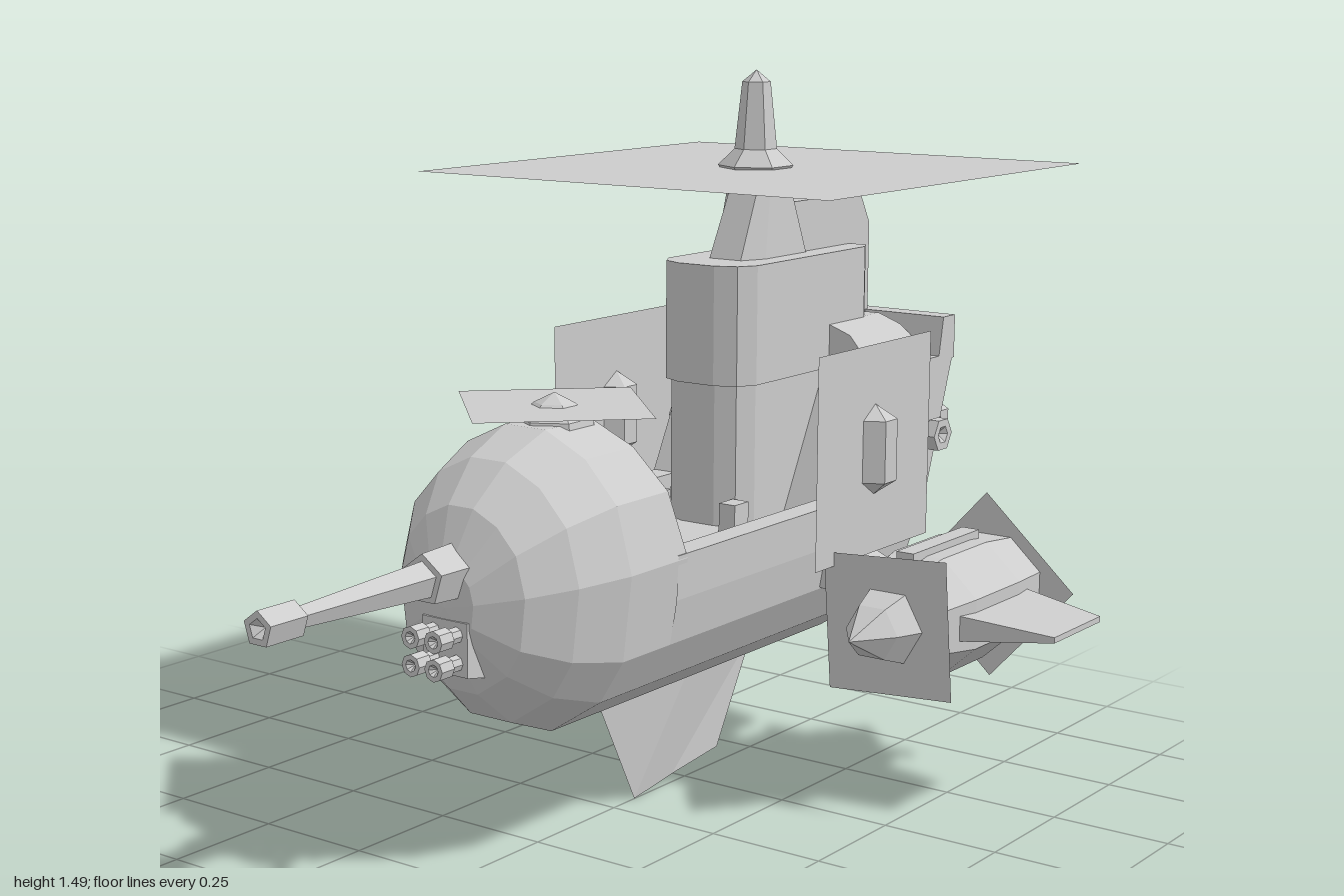
import * as THREE from 'three';

const grey = new THREE.MeshStandardMaterial({ color: 0xcccccc, flatShading: true, side: THREE.DoubleSide });
grey.name = 'plain grey';

function add(parent, name, geometry, x = 0, y = 0, z = 0) {
  const mesh = new THREE.Mesh(geometry, grey);
  mesh.name = name;
  mesh.position.set(x, y, z);
  parent.add(mesh);
  return mesh;
}

// Skin over closed rings of [x, y, z]; optional end caps fan about a centre.
function loft(rings, capFirst, capLast) {
  const p = [];
  const n = rings[0].length;
  for (let r = 0; r < rings.length - 1; r++) {
    for (let i = 0; i < n; i++) {
      const j = (i + 1) % n;
      const a = rings[r][i], b = rings[r][j], c = rings[r + 1][j], d = rings[r + 1][i];
      p.push(...a, ...b, ...c, ...a, ...c, ...d);
    }
  }
  const cap = (ring, c) => ring.forEach((v, i) => p.push(...c, ...v, ...ring[(i + 1) % n]));
  if (capFirst) cap(rings[0], capFirst);
  if (capLast) cap(rings[rings.length - 1], capLast);
  const g = new THREE.BufferGeometry();
  g.setAttribute('position', new THREE.Float32BufferAttribute(p, 3));
  g.computeVertexNormals();
  return g;
}

// Extrude a side profile of [z, y] points across the width.
function sideSlab(points, halfWidth) {
  const s = new THREE.Shape(points.map(([z, y]) => new THREE.Vector2(-z, y)));
  const g = new THREE.ExtrudeGeometry(s, { depth: halfWidth * 2, bevelEnabled: false });
  return g.translate(0, 0, -halfWidth).rotateY(Math.PI / 2);
}

// Faceted turned shape along y from [radius, y] points.
const turned = (points, sides) => new THREE.LatheGeometry(points.map(([r, y]) => new THREE.Vector2(r, y)), sides);

// Thin square blade sheet facing z.
const sheet = (size) => new THREE.PlaneGeometry(size, size);

const mirrorRing = (half) => [...half, ...half.slice().reverse().map(([x, y]) => [-x, y])];

// Small stepped exhaust pointing along +y.
function jet(name) {
  const g = new THREE.Group();
  g.name = name;
  const base = add(g, 'jetBase', new THREE.CylinderGeometry(0.04, 0.055, 0.03, 4), 0, 0.015);
  base.rotation.y = Math.PI / 4;
  add(g, 'jetNozzle', turned([[0.022, 0.03], [0.026, 0.07], [0.038, 0.07], [0.038, 0.105], [0.02, 0.105], [0, 0.085]], 6));
  return g;
}

function createModel() {
  const model = new THREE.Group();
  model.name = 'airship';

  // Lower hull: U-section with a sunken floor and raked stern
  const hullHalf = [[0.2, 0.55], [0.2, 0.6], [0.255, 0.6], [0.25, 0.51], [0.235, 0.42], [0.18, 0.33], [0.06, 0.25]];
  const hullRing = mirrorRing(hullHalf);
  add(model, 'hull', loft([
    hullRing.map(([x, y]) => [x, y, 0.13]),
    hullRing.map(([x, y]) => [x, y, -0.69 - (y - 0.25) * 0.35]),
  ], null, [0, 0.45, -0.76]));

  // Hollow nose, open towards the back
  const noseRing = mirrorRing([[0.05, 0.845], [0.145, 0.8], [0.22, 0.72], [0.255, 0.59], [0.235, 0.42], [0.18, 0.33], [0.06, 0.25]]);
  const stations = [[0.515, 0.26], [0.47, 0.6], [0.39, 0.85], [0.28, 1], [0.1, 1], [0.1, 0.85], [0.28, 0.85], [0.4, 0.6]];
  add(model, 'nose', loft(stations.map(([z, s]) => noseRing.map(([x, y]) => {
    const shear = z < 0.2 ? Math.max(0, y - 0.6) * 0.15 : 0;
    return [x * s, 0.54 + (y - 0.54) * s, z + shear];
  })), [0, 0.54, 0.52], [0, 0.54, 0.4]));

  // Nose rotor
  add(model, 'noseRotorHub', turned([[0.085, 0.8], [0.075, 0.85], [0.04, 0.88], [0, 0.9]], 6).translate(0, 0, 0.19));
  const noseRotor = add(model, 'noseRotor', sheet(0.346), 0, 0.875, 0.19);
  noseRotor.rotation.set(-Math.PI / 2, 0, Math.PI / 4);

  // Main gun
  const gun = add(model, 'mainGun', turned([[0.055, 0.48], [0.05, 0.58], [0.036, 0.58], [0.02, 0.91], [0.034, 0.91], [0.034, 1], [0.02, 1], [0, 0.98]], 5), 0, 0.605, 0);
  gun.rotation.set(Math.PI / 2, 0, 0);
  gun.geometry.rotateY(Math.PI);

  // Cluster of four small guns
  const mount = add(model, 'gunMount', new THREE.CylinderGeometry(0.078, 0.092, 0.06, 4, 1).rotateY(Math.PI / 4).rotateX(Math.PI / 2), 0, 0.465, 0.49);
  mount.scale.y = 0.95;
  for (const x of [-0.028, 0.028]) {
    for (const y of [0.438, 0.492]) {
      add(model, 'smallGun', turned([[0.016, 0.5], [0.016, 0.55], [0.022, 0.55], [0.022, 0.585], [0.012, 0.585], [0, 0.57]], 8).rotateX(Math.PI / 2), x, y, 0);
    }
  }

  // Keel fin, tapering to a sharp lower edge
  add(model, 'keelFin', loft([
    [[0.035, 0.26, -0.22], [0, 0.26, 0.065], [-0.035, 0.26, -0.22], [0, 0.26, -0.5]],
    [[0.003, 0.02, -0.2], [0, 0.0, -0.07], [-0.003, 0.02, -0.2], [0, 0.035, -0.37]],
  ], null, [0, 0.02, -0.2]));

  // Stern block, its rear parapet and rounded housings
  add(model, 'sternBlock', sideSlab([[-0.46, 0.55], [-0.62, 0.86], [-0.905, 0.86], [-0.795, 0.55]], 0.257));
  add(model, 'sternParapet', sideSlab([[-0.84, 0.84], [-0.86, 0.945], [-0.91, 0.945], [-0.91, 0.85]], 0.257));
  const housing = mirrorRing([[0.11, 0.945], [0.165, 0.925], [0.195, 0.89], [0.2, 0.85]]);
  add(model, 'sternHousing', loft([
    housing.map(([x, y]) => [x, y, -0.62]),
    housing.map(([x, y]) => [x, y, -0.83]),
    housing.map(([x, y]) => [x, 0.85 + (y - 0.85) * 0.4, -0.885]),
  ], [0, 0.87, -0.62], [0, 0.86, -0.885]));

  // Central column with a rounded front, in two stacked bands
  const column = (w, front) => mirrorRing([[w * 0.4, front], [w * 0.8, front - 0.02], [w, front - 0.06], [w, -0.76], [w * 0.85, -0.79]]);
  for (const [name, w, front, y0, y1] of [['columnLower', 0.104, -0.29, 0.55, 0.85], ['columnUpper', 0.113, -0.28, 0.85, 1.1]]) {
    const ring = column(w, front);
    add(model, name, loft([y0, y1].map((y) => ring.map(([x, z]) => [x, y, z])), [0, y0, -0.5], [0, y1, -0.5]));
  }
  for (const x of [-0.1, 0.1]) add(model, 'columnFoot', new THREE.BoxGeometry(0.04, 0.06, 0.05), x, 0.58, -0.28);
  add(model, 'mastBase', loft([
    mirrorRing([[0.04, -0.38], [0.065, -0.44], [0.065, -0.6], [0.04, -0.64]]).map(([x, z]) => [x, 1.09, z]),
    mirrorRing([[0.035, -0.45], [0.055, -0.47], [0.055, -0.55], [0.035, -0.56]]).map(([x, z]) => [x, 1.24, z]),
  ], null, [0, 1.24, -0.5]));
  add(model, 'tailBox', sideSlab([[-0.5, 0.9], [-0.5, 1.21], [-0.83, 1.21], [-0.87, 1.14], [-0.87, 0.9]], 0.055));

  // Main rotor and spire
  add(model, 'spire', turned([[0.035, 1.23], [0.08, 1.29], [0.045, 1.325], [0.03, 1.465], [0, 1.49]], 6).translate(0, 0, -0.495));
  add(model, 'mainRotor', sheet(1.01).rotateX(-Math.PI / 2), 0, 1.285, -0.495);

  // Rear exhausts
  for (const x of [-0.18, -0.06, 0.06, 0.18]) {
    const j = jet('rearExhaust');
    j.position.set(x, 0.7, -0.865);
    j.rotation.x = -Math.PI / 2;
    model.add(j);
  }

  for (const s of [1, -1]) {
    const sideName = s > 0 ? 'left' : 'right';
    // Side exhausts
    for (const z of [-0.65, -0.78]) {
      const j = jet(sideName + 'Exhaust');
      j.position.set(s * 0.235, 0.7, z);
      j.rotation.z = -s * Math.PI / 2;
      j.scale.y = 0.7;
      model.add(j);
    }
    // Side rotor with upright hub
    add(model, sideName + 'RotorHub', turned([[0, 0.63], [0.046, 0.66], [0.046, 0.79], [0, 0.82]], 6).translate(s * 0.335, 0, -0.45));
    add(model, sideName + 'SideRotor', sheet(0.44).rotateY(Math.PI / 2), s * 0.335, 0.725, -0.45);

    // Engine pod
    const pod = new THREE.Group();
    pod.name = sideName + 'EnginePod';
    pod.position.set(s * 0.463, 0.4, 0);
    model.add(pod);
    const body = add(pod, 'podBody', turned([[0, -0.72], [0.12, -0.72], [0.135, -0.6], [0.135, -0.42], [0.11, -0.3], [0, -0.3]], 8).rotateY(Math.PI / 8).rotateX(Math.PI / 2));
    body.scale.x = 1.1;
    const cone = (tip, base) => turned([[0.082, base], [0.06, base + (tip - base) * 0.4], [0, tip]], 6).rotateY(Math.PI / 2).rotateX(Math.PI / 2);
    add(pod, 'frontSpinner', cone(-0.155, -0.3));
    add(pod, 'rearSpinner', cone(-0.85, -0.72));
    add(pod, 'frontPropeller', sheet(0.285), 0, 0, -0.3).rotation.z = 0.07;
    add(pod, 'rearPropeller', sheet(0.285), 0, 0, -0.72).rotation.z = 0.05 + Math.PI / 4;
    add(pod, 'topRail', new THREE.BoxGeometry(0.04, 0.03, 0.27), 0, 0.125, -0.5);
    // Winglet and strut
    const section = (x, y, h, z0, z1) => [[x, y + h, z0], [x, y + h, z1], [x, y - h, z1], [x, y - h, z0]];
    add(pod, 'winglet', loft([
      section(s * 0.12, 0, 0.027, -0.37, -0.65),
      section(s * 0.318, 0, 0.006, -0.41, -0.61),
    ], null, [s * 0.318, 0, -0.51]));
    add(pod, 'strut', loft([
      section(-s * 0.1, 0.01, 0.012, -0.42, -0.6),
      section(-s * 0.26, 0.055, 0.025, -0.4, -0.62),
    ]));
  }
  return model;
}

export { createModel };
